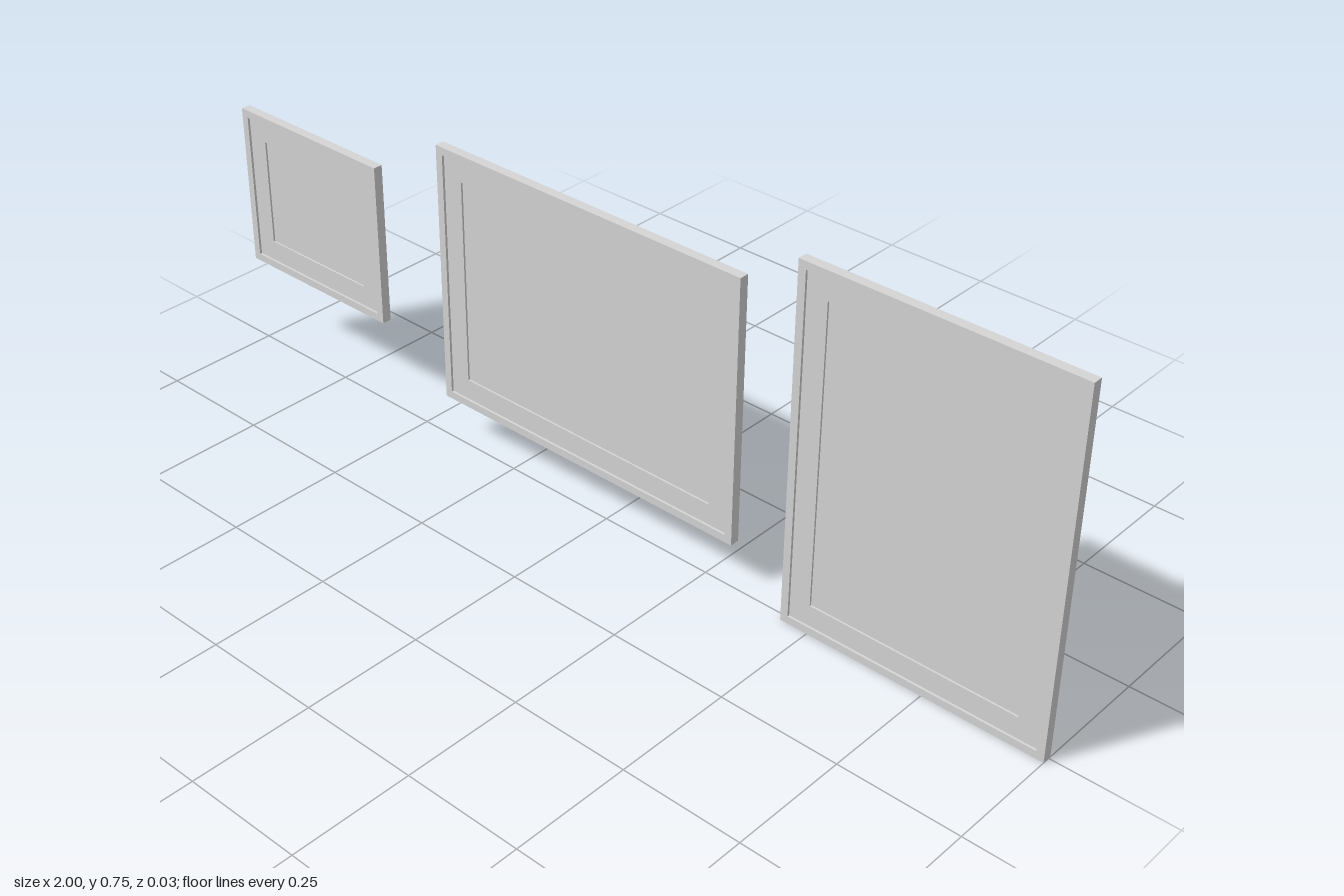
import * as THREE from 'three';

const T = 0.02;       // frame depth
const RIM = 0.016;    // rim width
const INSET = 0.06;   // distance from outer edge to the sunken centre

const lightGrey = new THREE.MeshStandardMaterial({ color: 0xd5d5d5 });
lightGrey.name = 'lightGrey';

function rectPath(path, w, h) {
  path.moveTo(-w / 2, -h / 2);
  path.lineTo(w / 2, -h / 2);
  path.lineTo(w / 2, h / 2);
  path.lineTo(-w / 2, h / 2);
  path.closePath();
  return path;
}

// Rectangular ring from z0 to z1, inset a outside and b inside
function ring(name, w, h, a, b, z0, z1) {
  const shape = rectPath(new THREE.Shape(), w - 2 * a, h - 2 * a);
  shape.holes.push(rectPath(new THREE.Path(), w - 2 * b, h - 2 * b));
  const geo = new THREE.ExtrudeGeometry(shape, { depth: z1 - z0, bevelEnabled: false });
  geo.translate(0, 0, z0);
  const mesh = new THREE.Mesh(geo, lightGrey);
  mesh.name = name;
  return mesh;
}

function framedPanel(name, x0, x1, y0, y1, z) {
  const w = x1 - x0, h = y1 - y0;
  const panel = new THREE.Group();
  panel.name = name;
  // Outer rim and the recessed border inside it
  panel.add(ring('rim', w, h, 0, RIM, -T / 2, T / 2));
  panel.add(ring('border', w, h, RIM, INSET, -0.003, 0.005));
  // Centre sheet: sunken at the front, raised at the back
  const centre = new THREE.Mesh(
    new THREE.BoxGeometry(w - 2 * INSET, h - 2 * INSET, 0.008), lightGrey);
  centre.name = 'centreSheet';
  centre.position.z = -0.003;
  panel.add(centre);
  panel.position.set((x0 + x1) / 2, (y0 + y1) / 2, z);
  return panel;
}

export function createModel() {
  const group = new THREE.Group();
  group.name = 'framedPanels';
  group.add(framedPanel('smallPanel', -1, -0.6, 0.2, 0.55, 0.0053));
  group.add(framedPanel('widePanel', -0.432, 0.312, 0.095, 0.653, -0.0053));
  group.add(framedPanel('tallPanel', 0.44, 1, 0, 0.745, 0.0053));
  return group;
}
